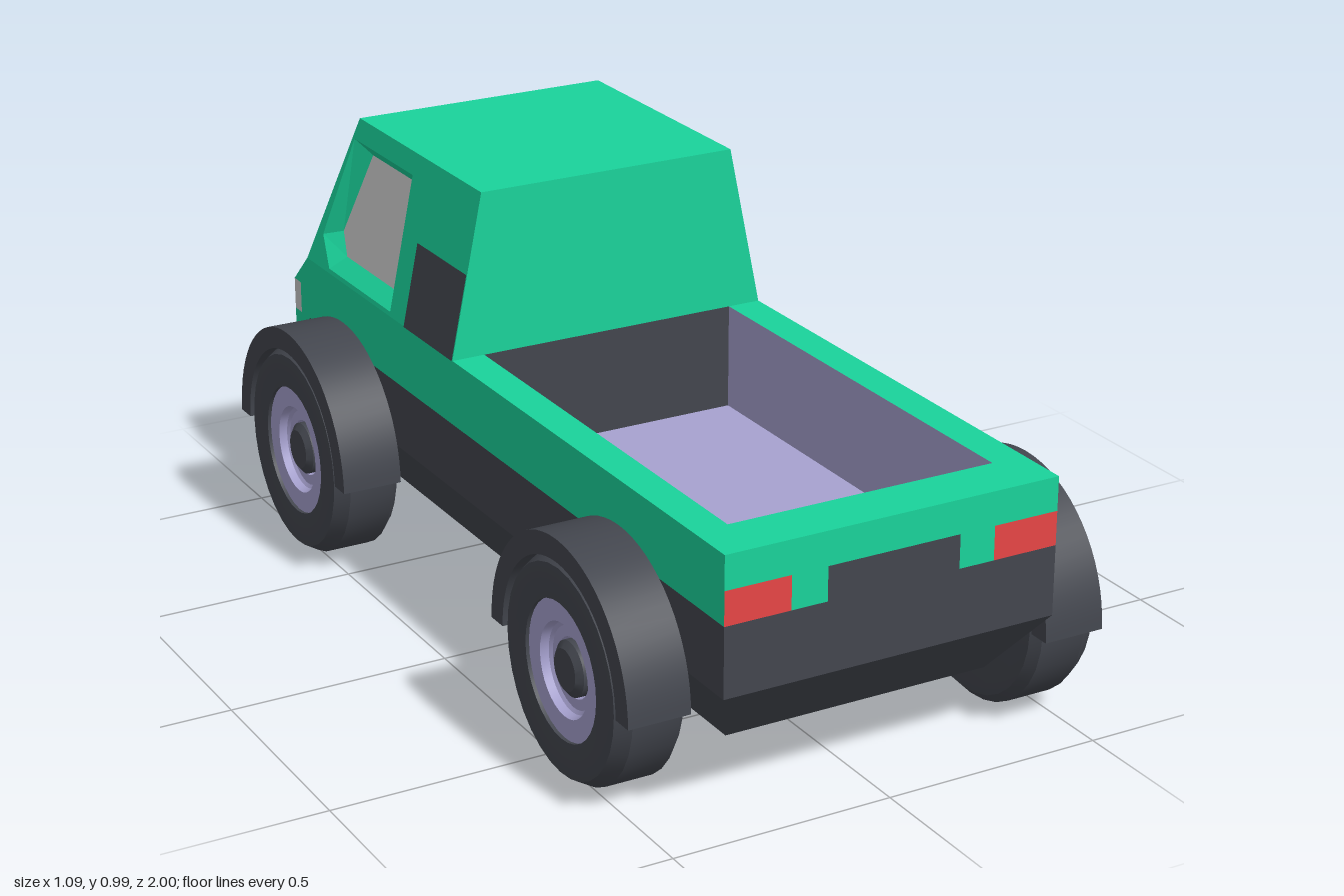
import * as THREE from 'three';
import { toCreasedNormals } from 'three/addons/utils/BufferGeometryUtils.js';

const mat = (color, extra = {}) => new THREE.MeshStandardMaterial({ color, ...extra });
const green = mat(0x1ad39b);
const dark = mat(0x43464e);
const lavender = mat(0xa7a2d0);
const red = mat(0xe84646);
const grey = mat(0xcccccc);

const W = 0.385;   // half width of the body
const N = 0.308;   // half width of roof, bed and underside
const BELT = 0.62, ROOF = 0.99, SILL = 0.47, WAIST = 0.315, BOTTOM = 0.165;
const BED = 0.38, BED_END = 0.88, CAB_BACK = -0.155;

// Flat mesh from convex polygons, corners counter-clockwise from outside
function panel(parent, name, material, polys) {
  const pos = [];
  for (const p of polys)
    for (let i = 1; i < p.length - 1; i++) pos.push(...p[0], ...p[i], ...p[i + 1]);
  const geo = new THREE.BufferGeometry();
  geo.setAttribute('position', new THREE.Float32BufferAttribute(pos, 3));
  geo.computeVertexNormals();
  const mesh = new THREE.Mesh(geo, material);
  mesh.name = name;
  parent.add(mesh);
}

const mirror = (polys) => polys.map((p) => p.map(([x, y, z]) => [-x, y, z]).reverse());
const both = (polys) => [...polys, ...mirror(polys)];

// Upright rectangle at an end, facing away from the middle
function end(x0, x1, y0, y1, z) {
  const p = [[x0, y0, z], [x1, y0, z], [x1, y1, z], [x0, y1, z]];
  return z > 0 ? p : p.reverse();
}
// Side rectangle facing +x, leaning from xb at the bottom to xt at the top
const side = (xb, xt, y0, y1, zf, zb) =>
  [[xb, y0, zf], [xb, y0, zb], [xt, y1, zb], [xt, y1, zf]];
// Level rectangle facing up
const level = (x0, x1, z0, z1, y) => [[x0, y, z1], [x1, y, z1], [x1, y, z0], [x0, y, z0]];

// Point on the leaning cab side: u runs towards the windscreen
const onCab = (u, y, out = 0) =>
  [W + (N - W) * (y - BELT) / (ROOF - BELT) + out, y, -u];

function buildBody(g) {
  // Dark lower hull
  panel(g, 'chassis', dark, [
    ...both([
      side(W, W, WAIST, SILL, 1, -0.92),
      [[N, BOTTOM, BED_END], [N, BOTTOM, -1], [W, WAIST, -1], [W, WAIST, 1]],
    ]),
    level(-N, N, -1, BED_END, BOTTOM).reverse(),
    [[-N, BOTTOM, BED_END], [N, BOTTOM, BED_END], [W, WAIST, 1], [-W, WAIST, 1]],
    [[N, BOTTOM, -1], [-N, BOTTOM, -1], [-W, WAIST, -1], [W, WAIST, -1]],
    end(-W, W, WAIST, SILL, 1),
    end(-0.153, 0.153, SILL, 0.545, 1),
    end(-0.24, 0.24, WAIST, 0.39, -1),
    end(-0.24, 0.24, SILL, 0.545, -1),
  ]);
  // Green side bands, bed rim, tail panel and nose
  panel(g, 'bodyPanels', green, [
    ...both([
      side(W, W, SILL, BELT, 1, -0.92),
      side(W, W, WAIST, SILL, -0.92, -1),
      side(W, W, SILL, 0.545, -0.92, -0.965),
      [[W, 0.545, -0.92], [W, 0.545, -1], [W, BELT, -0.92]],
      level(N, W, CAB_BACK, 1, BELT),
      end(0.153, 0.235, SILL, 0.545, 1),
      end(0.24, W, WAIST, 0.39, -1),
    ]),
    level(-N, N, BED_END, 1, BELT),
    end(-W, W, 0.545, BELT, 1),
    end(-W, W, 0.39, SILL, -1),
    [[W, 0.545, -1], [-W, 0.545, -1], [-W, BELT, -0.92], [W, BELT, -0.92]],
  ]);
  panel(g, 'tailLights', red, both([end(0.235, W, SILL, 0.545, 1)]));
  panel(g, 'headlights', grey, both([
    end(0.24, W, SILL, 0.545, -1),
    side(W, W, SILL, 0.545, -0.965, -1),
  ]));
  // Open load bed
  panel(g, 'bedLining', lavender, [
    level(-N, N, CAB_BACK, BED_END, BED),
    ...both([side(N, N, BED, BELT, BED_END, CAB_BACK).reverse()]),
    end(-N, N, BED, BELT, BED_END).reverse(),
  ]);
  panel(g, 'bedFrontWall', dark, [end(-N, N, BED, BELT, CAB_BACK).reverse()]);
}

function buildCab(g) {
  const outer = [[0.472, 0.63], [0.8, 0.63], [0.858, 0.695], [0.777, 0.94], [0.472, 0.94]];
  const inner = [[0.51, 0.66], [0.777, 0.66], [0.815, 0.71], [0.73, 0.91], [0.51, 0.91]];
  const v2 = (pts) => pts.map(([x, y]) => new THREE.Vector2(x, y));

  // Side wall with the window opening cut out
  const wall = new THREE.Shape(v2([[0.155, BELT], [0.92, BELT], [0.767, ROOF], [0.155, ROOF]]));
  wall.holes.push(new THREE.Path(v2(outer)));
  const geo = new THREE.ShapeGeometry(wall).toNonIndexed();
  const p = geo.attributes.position;
  const tris = [];
  for (let i = 0; i < p.count; i += 3)
    tris.push([0, 1, 2].map((k) => onCab(p.getX(i + k), p.getY(i + k))));

  panel(g, 'cabShell', green, [
    ...both(tris),
    level(-N, N, -0.767, CAB_BACK, ROOF),
    [[-W, BELT, CAB_BACK], [W, BELT, CAB_BACK], [N, ROOF, CAB_BACK], [-N, ROOF, CAB_BACK]],
    [[W, BELT, -0.92], [-W, BELT, -0.92], [-N, ROOF, -0.767], [N, ROOF, -0.767]],
  ]);
  // Recessed side windows
  const deep = -0.03;
  panel(g, 'windowFrames', green, both(outer.map((o, i) => {
    const j = (i + 1) % outer.length;
    return [onCab(...o), onCab(...outer[j]), onCab(...inner[j], deep), onCab(...inner[i], deep)];
  })));
  panel(g, 'sideWindows', grey, both([inner.map((q) => onCab(...q, deep))]));
  // Dark vents behind the doors
  panel(g, 'sideVents', dark, both([
    [[0.155, BELT], [0.395, BELT], [0.395, 0.81], [0.155, 0.81]].map((q) => onCab(...q, 0.002)),
  ]));
  // Windscreen just proud of the sloping front
  panel(g, 'windscreen', grey, [
    [[0.345, 0.628, -0.92], [-0.345, 0.628, -0.92], [-0.278, 0.905, -0.805], [0.278, 0.905, -0.805]],
  ]);
}

// Lathe with its axis along x, outer face towards +x
function turned(parent, name, material, pts) {
  const lathe = new THREE.LatheGeometry(pts.map(([r, h]) => new THREE.Vector2(r, h)), 32);
  const mesh = new THREE.Mesh(toCreasedNormals(lathe, 0.4), material);
  mesh.rotation.z = -Math.PI / 2;
  mesh.name = name;
  parent.add(mesh);
}

function buildWheel() {
  const g = new THREE.Group();
  turned(g, 'tyre', dark, [[0, 0], [0.2, 0], [0.226, 0.006], [0.245, 0.025], [0.245, 0.13],
    [0.226, 0.162], [0.2, 0.165], [0.15, 0.16], [0.15, 0.14]]);
  turned(g, 'rim', lavender, [[0.15, 0.152], [0.102, 0.152], [0.096, 0.135], [0.088, 0.13],
    [0.065, 0.13], [0.06, 0.11], [0, 0.11]]);
  turned(g, 'hub', dark, [[0.06, 0.11], [0.06, 0.138], [0.045, 0.15], [0, 0.15]]);
  return g;
}

// Half-ring mudguard, 0.14 wide from x = 0 outwards
function buildFender() {
  const s = new THREE.Shape();
  s.absarc(0, 0, 0.29, 0, Math.PI, false);
  s.absarc(0, 0, 0.24, Math.PI, 0, true);
  const geo = new THREE.ExtrudeGeometry(s, { depth: 0.14, bevelEnabled: false, curveSegments: 16 });
  geo.rotateY(Math.PI / 2);
  const mesh = new THREE.Mesh(toCreasedNormals(geo, 0.4), dark);
  mesh.name = 'fender';
  return mesh;
}

export function createModel() {
  const model = new THREE.Group();
  model.name = 'pickupTruck';

  const body = new THREE.Group();
  body.name = 'body';
  body.position.x = -0.005;
  buildBody(body);
  buildCab(body);
  model.add(body);

  // Wheels are staggered between the two sides
  for (const [s, z, label] of [[1, 0.695, 'leftBed'], [1, -0.613, 'leftCab'],
    [-1, 0.613, 'rightBed'], [-1, -0.695, 'rightCab']]) {
    const wheel = buildWheel();
    wheel.name = label + 'Wheel';
    wheel.position.set(s * 0.379, 0.245, z);
    if (s < 0) wheel.rotation.y = Math.PI;
    const fender = buildFender();
    fender.name = label + 'Fender';
    fender.position.set(s > 0 ? 0.379 : -0.545, 0.245, z);
    model.add(wheel, fender);
  }
  return model;
}
